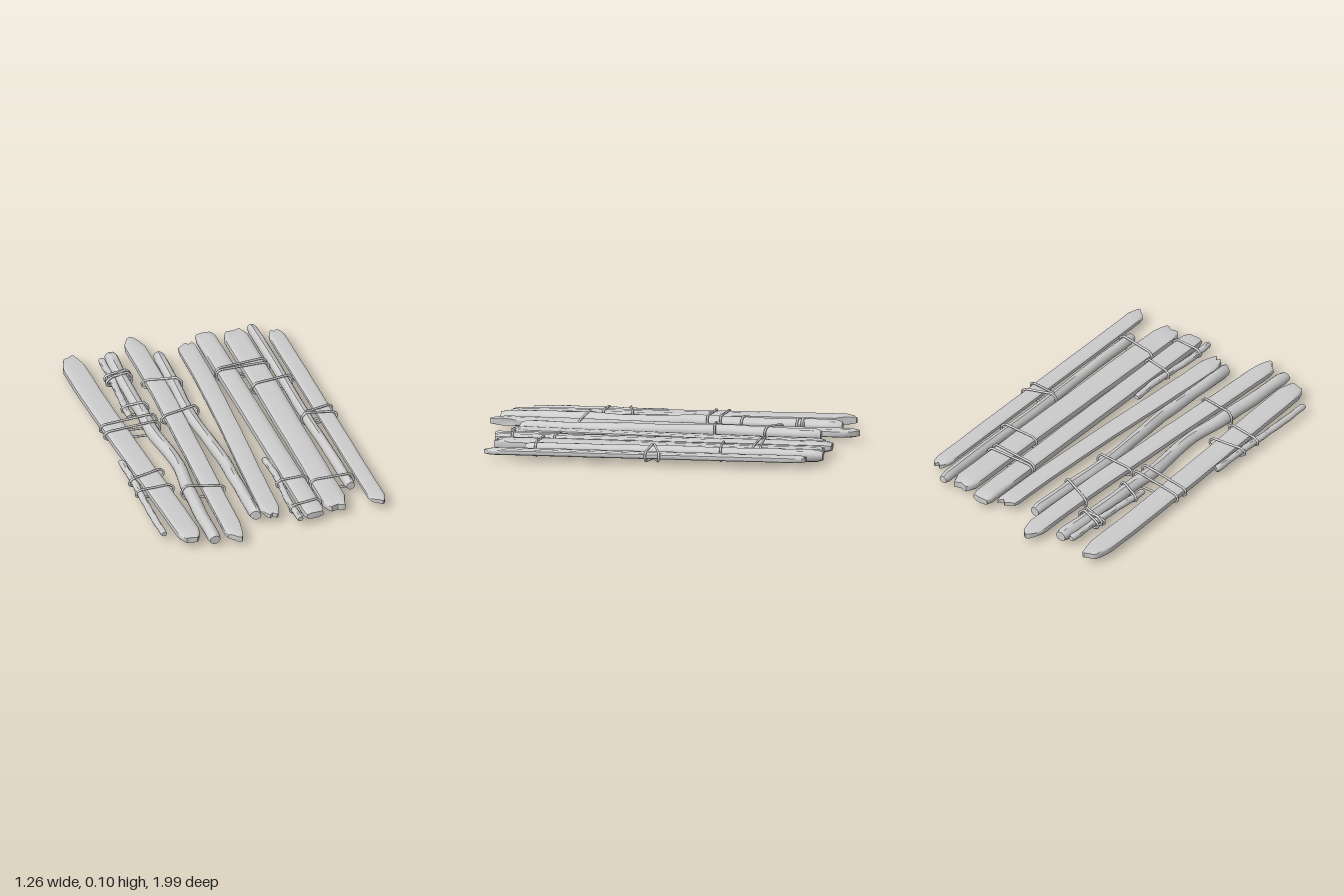
import * as THREE from 'three';
import { toCreasedNormals } from 'three/addons/utils/BufferGeometryUtils.js';

const MID = 0.055; // height of the raft's centre plane
const material = new THREE.MeshStandardMaterial({ color: 0xcccccc, side: THREE.DoubleSide });

// linear lookup in a short list, u from 0 to 1
function sample(list, u) {
  const f = Math.min(Math.max(u, 0), 1) * (list.length - 1);
  const i = Math.min(Math.floor(f), Math.max(list.length - 2, 0));
  return list.length === 1 ? list[0] : THREE.MathUtils.lerp(list[i], list[i + 1], f - i);
}

// Timber lofted along z. path: centre x from back to front; back/front: end z across the width;
// w, h: half width and half thickness; square: 1 for round, smaller for flatter sides.
function timber({ path, back, front, w, h, square = 1, wobble = 0.02, seed = 0, taper = 0.7, n = 14 }) {
  const spine = new THREE.CatmullRomCurve3(path.map((x, i) => new THREE.Vector3(x, 0, i)));
  const rows = [0, 0.008, 0.02];
  for (let i = 1; i < 28; i++) rows.push(0.02 + 0.96 * i / 28);
  rows.push(0.98, 0.992, 1);
  const pos = [], index = [];
  const power = (v, p) => Math.sign(v) * Math.pow(Math.abs(v) < 1e-9 ? 0 : Math.abs(v), p);
  for (const t of rows) {
    const x0 = spine.getPoint(t).x;
    const tip = Math.min(1, taper + (1 - taper) * Math.min(t, 1 - t) / 0.02);
    const edge = 0.5 + 0.5 * tip;
    for (let k = 0; k < n; k++) {
      const a = 2 * Math.PI * k / n;
      const cx = power(Math.cos(a), square < 1 ? 0.8 : 1);
      const cy = power(Math.sin(a), square);
      const u = (cx + 1) / 2;
      // slow waves along the length, fine grain across the face
      const wave = 1 + wobble * (Math.sin(t * 17 + seed + cx) + 0.7 * Math.sin(t * 41 + seed * 2.3 - 2 * cx));
      const grain = 1 + 0.06 * Math.sin(cx * 9 + seed * 3 + t * 2);
      pos.push(x0 + w * cx * edge * wave,
        MID + h * cy * tip * wave * grain,
        THREE.MathUtils.lerp(sample(back, u), sample(front, u), t));
    }
  }
  const quad = (a, b, c, d) => {
    if (a !== b && b !== c && a !== c) index.push(a, b, c);
    if (a !== c && c !== d && a !== d) index.push(a, c, d);
  };
  for (let i = 0; i < rows.length - 1; i++) {
    for (let k = 0; k < n; k++) {
      const a = i * n + k, b = i * n + (k + 1) % n;
      quad(a, b, b + n, a + n);
    }
  }
  // end grain
  const last = (rows.length - 1) * n;
  for (let k = 0; k < n / 2; k++) {
    const k2 = n - k - 1, k3 = (n - k) % n;
    quad(last + k, last + k + 1, last + k2, last + k3);
    quad(k3, k2, k + 1, k);
  }
  const g = new THREE.BufferGeometry();
  g.setAttribute('position', new THREE.Float32BufferAttribute(pos, 3));
  g.setIndex(index);
  return toCreasedNormals(g, 0.75);
}

// Rope loop from (x1, z1) to (x2, z2); h1, h2: half heights at the two sides
function rope(x1, z1, x2, z2, h1 = 0.033, h2 = 0.033) {
  const inset = 0.025;
  const p = (x, y) => new THREE.Vector3(x, MID + y, THREE.MathUtils.mapLinear(x, x1, x2, z1, z2));
  const mid = (x1 + x2) / 2, hm = (h1 + h2) / 2;
  const curve = new THREE.CatmullRomCurve3([
    p(x1, -h1 * 0.4), p(x1, h1 * 0.4), p(x1 + inset, h1), p(mid, hm), p(x2 - inset, h2),
    p(x2, h2 * 0.4), p(x2, -h2 * 0.4), p(x2 - inset, -h2), p(mid, -hm), p(x1 + inset, -h1),
  ], true, 'catmullrom', 0.2);
  return new THREE.TubeGeometry(curve, 60, 0.0065, 6, true);
}

export function createModel() {
  const raft = new THREE.Group();
  raft.name = 'raft';
  const add = (name, geometry) => {
    const mesh = new THREE.Mesh(geometry, material);
    mesh.name = name;
    raft.add(mesh);
  };

  // flat planks with split ends
  const planks = [
    { path: [-0.55, -0.485], back: [-0.84, -0.91, -0.91, -0.92, -0.94, -0.84], front: [0.88, 0.91, 0.9, 0.92, 0.91, 0.86], w: 0.063, h: 0.022 },
    { path: [-0.18, -0.255], back: [-0.94, -0.97, -1, -0.99, -0.97, -0.92], front: [0.94, 0.95, 0.97, 1, 0.98, 0.87], w: 0.054, h: 0.021 },
    { path: [0.078, -0.01], back: [-0.82, -0.83, -0.85, -0.83, -0.86], front: [0.77, 0.84, 0.82, 0.85, 0.79], w: 0.053, h: 0.016 },
    { path: [0.203, 0.203], back: [-0.9, -0.905, -0.9], front: [0.9, 0.9, 0.895], w: 0.055, h: 0.025, wobble: 0.006 },
    { path: [0.356, 0.34], back: [-0.85, -0.88, -0.87, -0.865, -0.89, -0.84], front: [0.85, 0.88, 0.86, 0.87, 0.89, 0.82], w: 0.067, h: 0.025 },
    { path: [0.565, 0.565], back: [-0.78, -0.82, -0.8, -0.82, -0.79], front: [0.86, 0.88, 0.89, 0.91, 0.87], w: 0.045, h: 0.016 },
  ];
  planks.forEach((o, i) => add('plank', timber({ square: 0.4, wobble: 0.012, seed: i * 1.7, n: 20, ...o })));

  // thick round logs
  const logs = [
    { path: [-0.33, -0.34, -0.345, -0.35, -0.325, -0.35, -0.365, -0.375], back: [-0.88], front: [0.95], w: 0.035, h: 0.036, wobble: 0.06 },
    { path: [-0.085, -0.095, -0.11, -0.1, -0.085, -0.09, -0.097], back: [-0.8], front: [0.79, 0.81], w: 0.031, h: 0.036, wobble: 0.05 },
    { path: [0.465, 0.468, 0.462, 0.468, 0.47], back: [-0.89], front: [0.7], w: 0.027, h: 0.032, wobble: 0.03 },
  ];
  logs.forEach((o, i) => add('log', timber({ seed: i * 2.1 + 1, ...o })));

  // short thin sticks
  const sticks = [
    { path: [-0.385, -0.39, -0.405, -0.42], back: [-0.86], front: [-0.3], w: 0.018, h: 0.018 },
    { path: [-0.6, -0.602, -0.612, -0.612], back: [0.08, 0.1], front: [0.81], w: 0.018, h: 0.018 },
    { path: [0.122, 0.128, 0.112, 0.116], back: [0.31], front: [0.91], w: 0.017, h: 0.018 },
  ];
  sticks.forEach((o, i) => add('stick', timber({ seed: i + 0.5, wobble: 0.07, n: 10, ...o })));

  // rope lashings
  [
    [-0.605, -0.24, -0.297, -0.23, 0.026, 0.042], [-0.605, -0.17, -0.3, -0.16, 0.026, 0.042],
    [-0.627, 0.295, -0.425, 0.255, 0.024, 0.03], [-0.627, 0.405, -0.425, 0.415, 0.024, 0.03],
    [-0.425, -0.685, -0.29, -0.665, 0.025, 0.043], [-0.43, -0.64, -0.29, -0.675, 0.025, 0.043],
    [-0.425, -0.655, -0.29, -0.64, 0.025, 0.043], [-0.435, -0.378, -0.303, -0.342, 0.025, 0.043],
    [-0.395, 0.472, -0.17, 0.508, 0.043, 0.026],
    [-0.255, -0.573, -0.058, -0.503, 0.026, 0.041], [-0.27, -0.215, -0.06, -0.235, 0.026, 0.041],
    [0.142, -0.535, 0.43, -0.55], [0.142, -0.518, 0.43, -0.508],
    [0.278, -0.335, 0.505, -0.347, 0.033, 0.038],
    [0.434, 0.02, 0.62, -0.035, 0.038, 0.026], [0.434, 0.02, 0.62, 0.04, 0.038, 0.026],
    [0.105, 0.56, 0.27, 0.575, 0.026, 0.033], [0.095, 0.81, 0.265, 0.8, 0.026, 0.033],
    [0.272, 0.625, 0.503, 0.642, 0.033, 0.038],
  ].forEach((r) => add('ropeLashing', rope(...r)));

  return raft;
}
